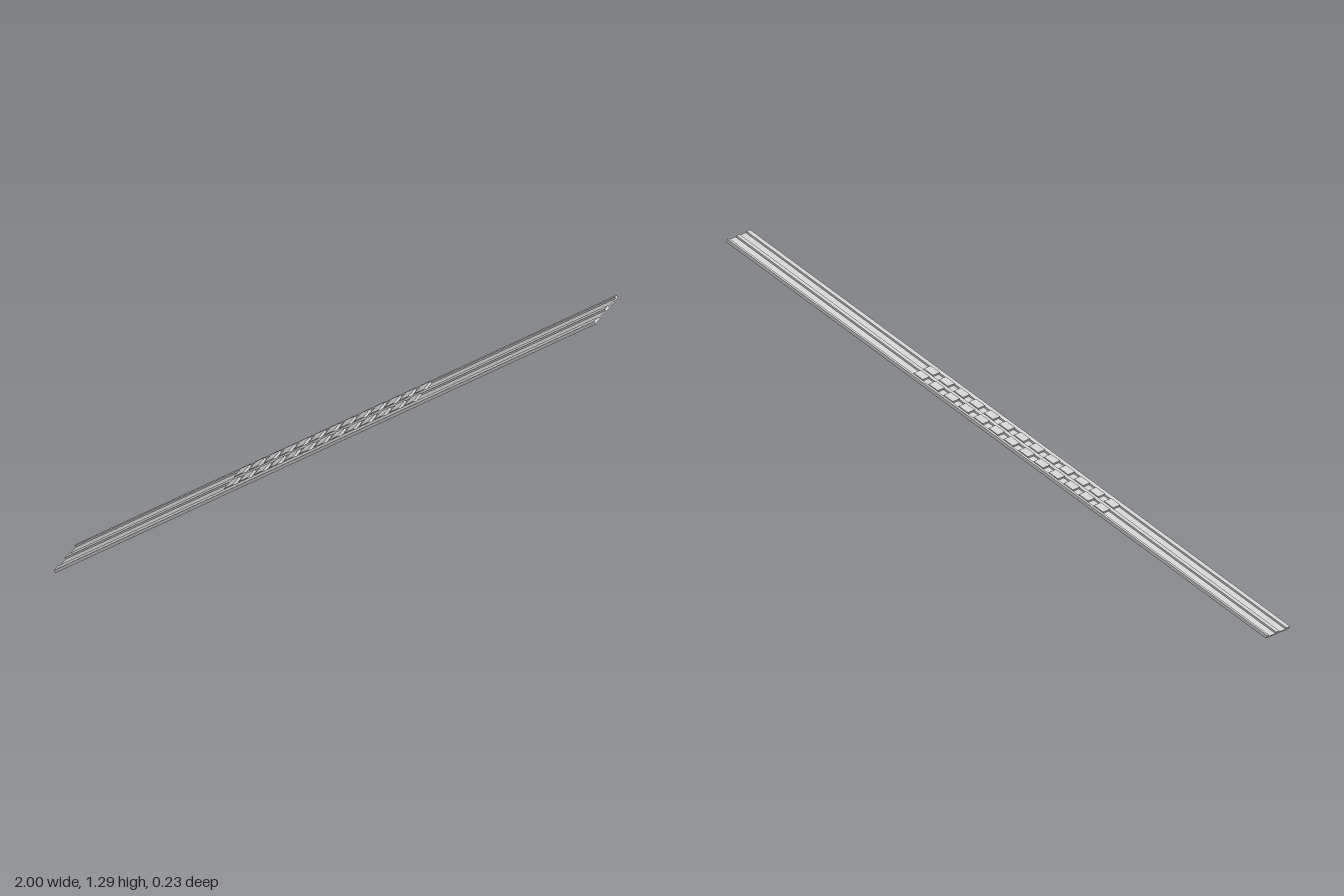
import * as THREE from 'three';

export function createModel() {
  const model = new THREE.Group();
  model.name = 'inclinedRamp';
  const material = new THREE.MeshStandardMaterial({ color: 0xcccccc, flatShading: true });

  const length = 2.372, angle = 0.572;
  const base = 0.005, railHeight = 0.006, cleatHeight = 0.009;

  // Everything is laid out flat, then tilted to the slope
  const ramp = new THREE.Group();
  ramp.name = 'ramp';
  ramp.rotation.z = angle;
  ramp.position.y = 0.6465;
  model.add(ramp);

  // Box given by its length, centre along the slope, bottom, height and z range
  const addBox = (name, len, x, bottom, height, z0, z1) => {
    const mesh = new THREE.Mesh(new THREE.BoxGeometry(len, height, z1 - z0), material);
    mesh.name = name;
    mesh.position.set(x, bottom + height / 2 - (base + railHeight) / 2, (z0 + z1) / 2);
    ramp.add(mesh);
  };

  addBox('deck', length, 0, 0, base, -0.115, 0.113);

  // Raised rails along the full length
  addBox('backRail', length, 0, base, railHeight, -0.115, -0.097);
  addBox('centreRail', length, 0, base, railHeight, -0.026, 0.005);
  addBox('frontRail', length, 0, base, railHeight, 0.076, 0.113);

  // Two rows of cleats in the channels between the rails
  for (let i = 0; i < 13; i++) {
    const x = -0.434 + i * 0.066;
    addBox('backCleat', 0.04, x, base, cleatHeight, -0.097, -0.026);
    addBox('frontCleat', 0.04, x, base, cleatHeight, 0.005, 0.076);
  }
  return model;
}
